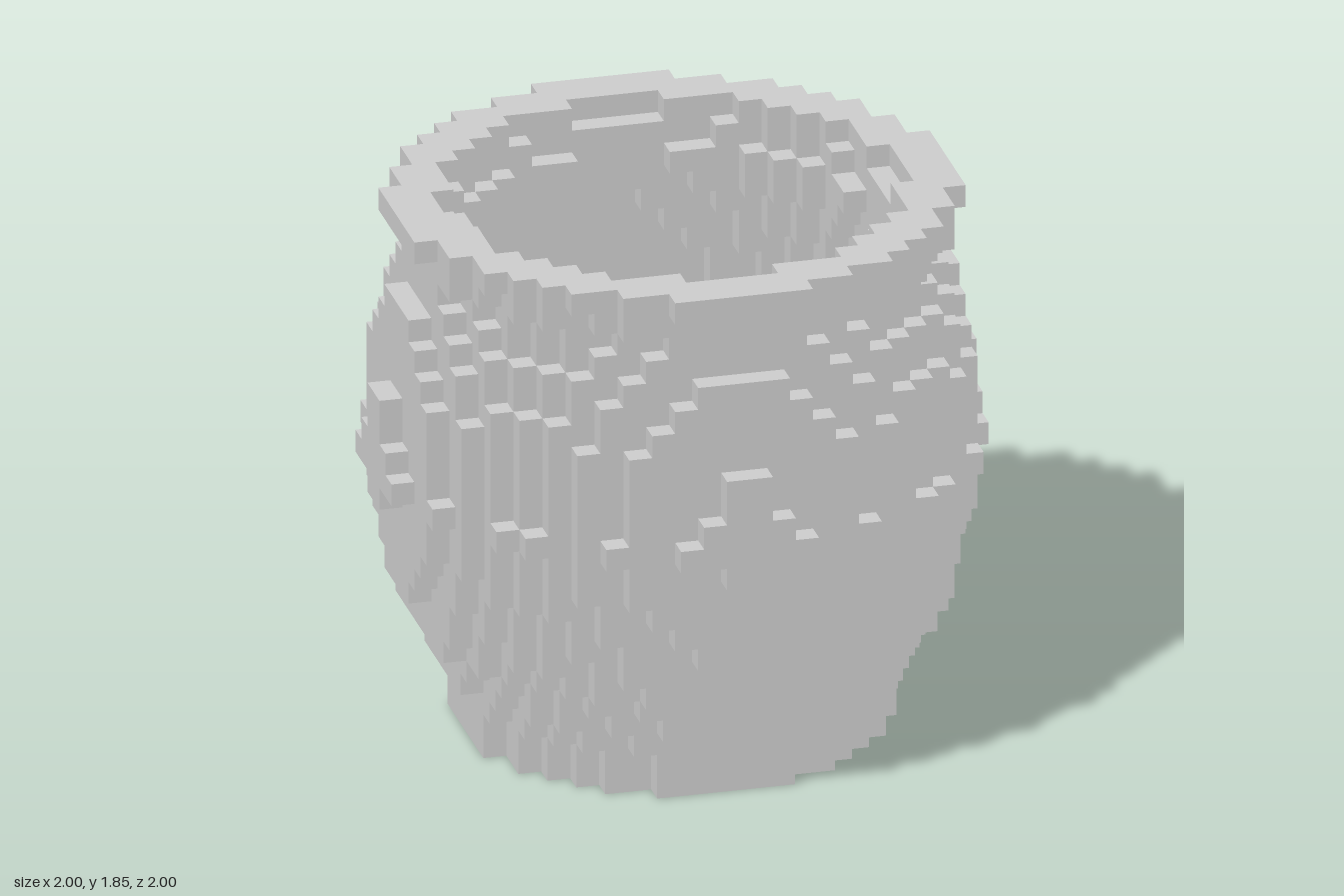
import * as THREE from 'three';

const VOXEL = 1 / 13; // 26 blocks across the widest layer
const WALL = 2.1; // wall thickness in blocks
const FLOOR_LAYERS = 2;

// Outer radius of each one-block layer, bottom to top, in blocks
const RADII = [
  9.0, 9.0, 9.45, 9.97, 10.35, 11.2, 11.46, 11.65, 11.88, 12.2, 12.45, 12.55,
  12.8, 12.65, 12.55, 12.55, 12.45, 12.2, 11.9, 11.68, 11.2, 10.95, 11.45, 11.8,
];

// Is the block at column (i, k) of layer j filled?
function solid(i, j, k) {
  if (j < 0 || j >= RADII.length) return false;
  const d = Math.hypot(i + 0.5, k + 0.5);
  return d < RADII[j] && (j < FLOOR_LAYERS || d >= RADII[j] - WALL);
}

// Exposed block faces of the layers from..to-1 as one flat-sided mesh
function blockLayers(name, from, to, material) {
  const positions = [];
  const normals = [];
  const index = [];

  function addFace(cell, axis, sign) {
    const u = (axis + 1) % 3;
    const v = (axis + 2) % 3;
    const start = positions.length / 3;
    for (const [a, b] of [[0, 0], [1, 0], [1, 1], [0, 1]]) {
      const corner = [...cell];
      if (sign > 0) corner[axis] += 1;
      corner[u] += a;
      corner[v] += b;
      positions.push(...corner.map((c) => c * VOXEL));
      const normal = [0, 0, 0];
      normal[axis] = sign;
      normals.push(...normal);
    }
    const order = sign > 0 ? [0, 1, 2, 0, 2, 3] : [0, 2, 1, 0, 3, 2];
    index.push(...order.map((n) => start + n));
  }

  for (let j = from; j < to; j++) {
    for (let i = -13; i < 13; i++) {
      for (let k = -13; k < 13; k++) {
        if (!solid(i, j, k)) continue;
        for (let axis = 0; axis < 3; axis++) {
          for (const sign of [-1, 1]) {
            const next = [i, j, k];
            next[axis] += sign;
            if (!solid(...next)) addFace([i, j, k], axis, sign);
          }
        }
      }
    }
  }

  const geometry = new THREE.BufferGeometry();
  geometry.setAttribute('position', new THREE.Float32BufferAttribute(positions, 3));
  geometry.setAttribute('normal', new THREE.Float32BufferAttribute(normals, 3));
  geometry.setIndex(index);
  const mesh = new THREE.Mesh(geometry, material);
  mesh.name = name;
  return mesh;
}

export function createModel() {
  const group = new THREE.Group();
  group.name = 'blockPot';
  const material = new THREE.MeshStandardMaterial({ color: 0xcccccc, flatShading: true });
  group.add(
    blockLayers('base', 0, FLOOR_LAYERS, material), // solid floor
    blockLayers('body', FLOOR_LAYERS, 20, material), // bulging hollow wall
    blockLayers('neck', 20, 22, material), // narrowed ring
    blockLayers('rim', 22, RADII.length, material), // flared lip
  );
  return group;
}
